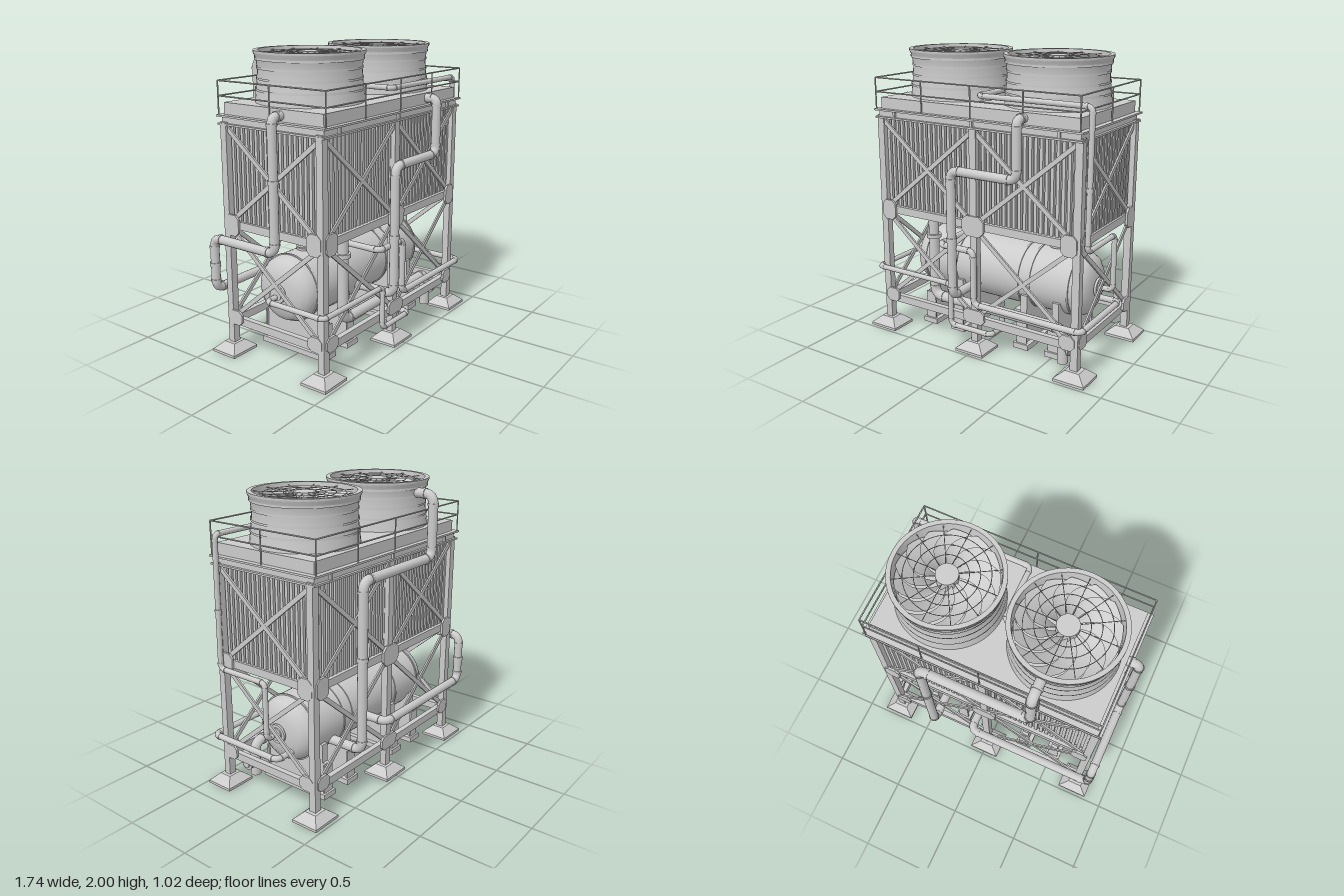
import * as THREE from 'three';
import { toCreasedNormals } from 'three/addons/utils/BufferGeometryUtils.js';
import { ParametricGeometry } from 'three/addons/geometries/ParametricGeometry.js';

const mat = new THREE.MeshStandardMaterial({ color: 0xcccccc });
const thinMat = new THREE.MeshStandardMaterial({ color: 0xcccccc, side: THREE.DoubleSide });
const V = (x, y, z) => new THREE.Vector3(x, y, z);
const UP = V(0, 1, 0);

function add(parent, name, geo, x = 0, y = 0, z = 0, material = mat) {
  const m = new THREE.Mesh(geo, material);
  m.name = name;
  m.position.set(x, y, z);
  parent.add(m);
  return m;
}
function group(parent, name) {
  const g = new THREE.Group();
  g.name = name;
  parent.add(g);
  return g;
}
// box given by its extents
function box(parent, name, x0, x1, y0, y1, z0, z1) {
  return add(parent, name, new THREE.BoxGeometry(x1 - x0, y1 - y0, z1 - z0), (x0 + x1) / 2, (y0 + y1) / 2, (z0 + z1) / 2);
}
// round rod between two points
function rod(parent, name, a, b, r, sides = 8) {
  const m = add(parent, name, new THREE.CylinderGeometry(r, r, a.distanceTo(b), sides));
  m.position.copy(a).add(b).multiplyScalar(0.5);
  m.quaternion.setFromUnitVectors(UP, b.clone().sub(a).normalize());
  return m;
}
// flat bar in a wall plane, u along the wall and y up
function bar(parent, name, u0, y0, u1, y1, w, t) {
  const m = add(parent, name, new THREE.BoxGeometry(Math.hypot(u1 - u0, y1 - y0), w, t), (u0 + u1) / 2, (y0 + y1) / 2, 0);
  m.rotation.z = Math.atan2(y1 - y0, u1 - u0);
}
// gusset plate with cut corners
function gusset(parent, u, y, w, h) {
  const a = w / 2, b = h / 2, c = Math.min(w, h) * 0.25;
  const s = new THREE.Shape([[-a + c, -b], [a - c, -b], [a, -b + c], [a, b - c], [a - c, b], [-a + c, b], [-a, b - c], [-a, -b + c]]
    .map(p => new THREE.Vector2(...p)));
  add(parent, 'gussetPlate', new THREE.ExtrudeGeometry(s, { depth: 0.016, bevelEnabled: false }), u, y, 0.008);
}
// pipe through points with rounded elbows and collars beside each elbow
function pipe(parent, name, r, pts) {
  const g = group(parent, name), path = new THREE.CurvePath(), p = pts.map(q => V(...q));
  let last = p[0];
  for (let i = 1; i < p.length; i++) {
    if (i === p.length - 1) { path.add(new THREE.LineCurve3(last, p[i])); break; }
    const inD = p[i].clone().sub(p[i - 1]), outD = p[i + 1].clone().sub(p[i]);
    const b = Math.min(r * 2, inD.length() * 0.45, outD.length() * 0.45);
    inD.normalize(); outD.normalize();
    const s = p[i].clone().addScaledVector(inD, -b), e = p[i].clone().addScaledVector(outD, b);
    path.add(new THREE.LineCurve3(last, s));
    path.add(new THREE.QuadraticBezierCurve3(s, p[i], e));
    for (const [c, d] of [[s, inD], [e, outD]])
      rod(g, 'collar', c.clone().addScaledVector(d, -0.008), c.clone().addScaledVector(d, 0.008), r * 1.13, 16);
    last = e;
  }
  add(g, name + 'Tube', new THREE.TubeGeometry(path, Math.ceil(path.getLength() / 0.018), r, 14), 0, 0, 0, thinMat);
}
const lathe = (pts, n = 48, crease = 0.5) => toCreasedNormals(new THREE.LatheGeometry(pts.map(p => new THREE.Vector2(...p)), n), crease);

function buildFrame(root) {
  const g = group(root, 'frame');
  // legs and footings
  for (const x of [-0.76, 0, 0.76]) for (const z of [-0.382, 0.382]) {
    box(g, 'leg', x - 0.026, x + 0.026, 0.05, 1.56, z - 0.024, z + 0.024);
    box(g, 'footingSlab', x - 0.11, x + 0.11, 0, 0.018, z - 0.098, z + 0.098);
    const f = new THREE.CylinderGeometry(0.05 * Math.SQRT2, 0.11 * Math.SQRT2, 0.05, 4, 1).toNonIndexed();
    f.rotateY(Math.PI / 4);
    f.scale(1, 1, 0.89);
    f.computeVertexNormals();
    add(g, 'footing', f, x, 0.043, z);
  }
  // walls: long ones with two bays, short ones with one
  for (let k = 0; k < 4; k++) {
    const long = k % 2 === 0, half = long ? 0.75 : 0.375, off = long ? 0.392 : 0.765;
    const w = group(g, 'wallBracing');
    w.rotation.y = k * Math.PI / 2;
    w.position.set(Math.sin(w.rotation.y) * off, 0, Math.cos(w.rotation.y) * off);
    for (const y of [0.222, 0.895]) {
      box(w, 'beam', -half, half, y - 0.027, y + 0.027, -0.034, 0.004);
      for (const u of long ? [-half, 0, half] : [-half, half]) {
        const mid = u === 0, shift = mid ? 0 : -Math.sign(u) * 0.04;
        gusset(w, u + shift, y + (y < 0.5 ? 0.03 : 0), mid ? 0.17 : 0.11, y < 0.5 ? 0.1 : 0.14);
      }
    }
    for (const [a, b] of long ? [[-half, 0], [0, half]] : [[-half, half]])
      for (const [y0, y1] of [[0.24, 0.88], [0.9, 1.53]]) {
        bar(w, 'brace', a, y0, b, y1, 0.03, 0.012);
        bar(w, 'brace', a, y1, b, y0, 0.03, 0.014);
      }
  }
}

function buildTower(root) {
  const g = group(root, 'coolingTower');
  box(g, 'fillCore', -0.735, 0.735, 0.9, 1.55, -0.35, 0.35);
  // corrugated cladding
  const clad = group(g, 'cladding');
  for (let i = 0; i < 38; i++) {
    const x = -0.722 + i * 1.444 / 37;
    for (const s of [-1, 1]) box(clad, 'rib', x - 0.011, x + 0.011, 0.9, 1.55, s * 0.36 - 0.013, s * 0.36 + 0.013);
  }
  for (let i = 0; i < 18; i++) {
    const z = -0.332 + i * 0.664 / 17;
    for (const s of [-1, 1]) box(clad, 'rib', s * 0.742 - 0.013, s * 0.742 + 0.013, 0.9, 1.55, z - 0.011, z + 0.011);
  }
  // deck on a flanged edge beam
  box(g, 'edgeBeamLowerFlange', -0.79, 0.79, 1.54, 1.552, -0.425, 0.425);
  box(g, 'edgeBeamWeb', -0.77, 0.77, 1.55, 1.6, -0.405, 0.405);
  box(g, 'edgeBeamUpperFlange', -0.795, 0.795, 1.592, 1.604, -0.43, 0.43);
  box(g, 'deck', -0.757, 0.757, 1.6, 1.68, -0.395, 0.395);
  for (const x of [-0.63, 0, 0.63]) for (const z of [-0.405, 0.405]) box(g, 'beamStiffener', x - 0.008, x + 0.008, 1.55, 1.595, z - 0.015, z + 0.015);
  // railing
  const r = group(g, 'railing'), X = 0.775, Z = 0.425;
  for (const s of [-1, 1]) {
    for (let i = -2; i <= 2; i++) rod(r, 'railPost', V(i * X / 2, 1.6, s * Z), V(i * X / 2, 1.815, s * Z), 0.005, 6);
    rod(r, 'railPost', V(s * X, 1.6, 0), V(s * X, 1.815, 0), 0.005, 6);
    for (const y of [1.72, 1.815]) {
      rod(r, 'rail', V(-X, y, s * Z), V(X, y, s * Z), 0.005, 6);
      rod(r, 'rail', V(s * X, y, -Z), V(s * X, y, Z), 0.005, 6);
    }
  }
}

function buildFan(root, x) {
  const g = group(root, 'fanStack');
  g.position.set(x, 0, -0.012);
  // flared shell, outside then inside
  add(g, 'stackShell', lathe([[0.35, 1.675], [0.342, 1.74], [0.333, 1.82], [0.33, 1.88], [0.335, 1.93], [0.346, 1.97], [0.354, 1.985],
    [0.354, 2], [0.325, 2], [0.318, 1.93], [0.316, 1.86], [0.322, 1.69]]), 0, 0, 0, thinMat);
  for (const [y, r] of [[1.76, 0.341], [1.83, 0.334], [1.895, 0.332], [1.95, 0.341]])
    add(g, 'stackBand', new THREE.CylinderGeometry(r + 0.004, r + 0.004, 0.014, 48, 1, true), 0, y, 0, thinMat);
  add(g, 'fanHub', new THREE.CylinderGeometry(0.07, 0.07, 0.09, 32), 0, 1.945, 0);
  add(g, 'motor', new THREE.CylinderGeometry(0.05, 0.05, 0.24, 24), 0, 1.79, 0);
  // swept, pitched blades
  const blade = new ParametricGeometry((u, v, out) => {
    const r = 0.06 + 0.253 * u, a = 0.75 * u * u + v * (0.62 - 0.12 * u);
    out.set(r * Math.cos(a), 1.965 - v * (0.075 - 0.03 * u), r * Math.sin(a));
  }, 10, 4);
  for (let i = 0; i < 13; i++) add(g, 'fanBlade', blade, 0, 0, 0, thinMat).rotation.y = i * Math.PI * 2 / 13;
  // wire guard
  for (const r of [0.13, 0.195, 0.26]) add(g, 'guardRing', new THREE.TorusGeometry(r, 0.0025, 5, 48), 0, 1.982, 0).rotation.x = Math.PI / 2;
  for (let i = 0; i < 12; i++) {
    const a = i * Math.PI / 6, c = Math.cos(a), s = Math.sin(a);
    rod(g, 'guardSpoke', V(c * 0.06, 1.982, s * 0.06), V(c * 0.325, 1.982, s * 0.325), 0.0025, 5);
  }
}

function buildTank(root) {
  const g = group(root, 'tank'), cy = 0.475, cz = -0.03, R = 0.225;
  // shell with domed heads, turned about x
  const half = [[0, 0.7], [0.1, 0.695], [0.16, 0.68], [0.2, 0.65], [0.22, 0.61], [R, 0.57]];
  const prof = [...half.map(([r, x]) => [r, -x]), ...half.slice().reverse()];
  add(g, 'tankShell', lathe(prof, 48, 0.7), 0, cy, cz).rotation.z = -Math.PI / 2;
  for (const x of [-0.575, -0.3, 0.21, 0.3, 0.59]) rod(g, 'seamBand', V(x - 0.006, cy, cz), V(x + 0.006, cy, cz), R + 0.006, 48);
  for (const s of [-1, 1]) {
    rod(g, 'endNozzle', V(s * 0.68, cy, cz), V(s * 0.73, cy, cz), 0.045, 20);
    rod(g, 'endFlange', V(s * 0.705, cy, cz), V(s * 0.722, cy, cz), 0.065, 24);
  }
  // top nozzles rising into the tower
  for (const x of [-0.43, 0.4]) {
    rod(g, 'topNozzle', V(x, 0.65, cz), V(x, 0.92, cz), 0.036, 20);
    for (const y of [0.71, 0.73]) rod(g, 'nozzleFlange', V(x, y - 0.007, cz), V(x, y + 0.007, cz), 0.056, 24);
  }
  // saddles
  for (const x of [-0.51, -0.265, 0.265, 0.51]) {
    box(g, 'saddleBase', x - 0.058, x + 0.058, 0.01, 0.048, cz - 0.27, cz + 0.27);
    box(g, 'saddleWeb', x - 0.025, x + 0.025, 0.045, 0.26, cz - 0.25, cz + 0.25);
    box(g, 'saddleCradle', x - 0.025, x + 0.025, 0.25, 0.39, cz - 0.228, cz + 0.228);
    for (const s of [-1, 1]) box(g, 'saddleEndPlate', x - 0.04, x + 0.04, 0.045, 0.25, cz + s * 0.25 - 0.006, cz + s * 0.25 + 0.006);
  }
}

function buildPipes(root) {
  const g = group(root, 'pipework');
  pipe(g, 'frontFeedPipe', 0.031, [[0.375, 1.645, 0.38], [0.375, 1.645, 0.475], [0.375, 1.27, 0.475], [-0.125, 1.27, 0.475], [-0.125, 0.4, 0.475], [-0.125, 0.4, 0.1]]);
  pipe(g, 'rearStackPipe', 0.033, [[-0.36, 1.92, -0.32], [-0.36, 1.92, -0.475], [-0.36, 1.5, -0.475], [0.4, 1.5, -0.475], [0.4, 0.37, -0.475], [0.4, 0.37, -0.15]]);
  pipe(g, 'sideDownPipe', 0.03, [[-0.74, 1.64, 0.07], [-0.835, 1.64, 0.07], [-0.835, 0.8, 0.07], [-0.835, 0.8, -0.455], [-0.835, 0.45, -0.455], [0.1, 0.45, -0.455], [0.1, 0.45, -0.2]]);
  pipe(g, 'frontLoopPipe', 0.021, [[-0.25, 0.66, -0.02], [-0.25, 0.735, -0.02], [-0.25, 0.735, 0.445], [0.025, 0.735, 0.445], [0.025, 0.36, 0.445], [0.82, 0.36, 0.445], [0.82, 0.36, -0.12], [0.58, 0.36, -0.12]]);
  pipe(g, 'deckReturnPipe', 0.018, [[-0.04, 1.745, -0.04], [0.01, 1.745, -0.04], [0.01, 1.745, 0.35], [0.812, 1.745, 0.35], [0.812, 0.86, 0.36], [0.812, 0.86, -0.03], [0.812, 0.475, -0.03], [0.7, 0.475, -0.03]]);
  pipe(g, 'lowDrainPipe', 0.018, [[-0.7, 0.455, -0.03], [-0.815, 0.455, -0.03], [-0.815, 0.455, 0.425], [-0.18, 0.455, 0.425], [-0.18, 0.16, 0.425], [0.145, 0.16, 0.425], [0.145, 0.16, 0.28], [0.145, 0.27, 0.28]]);
  pipe(g, 'basinPipe', 0.036, [[-0.425, 0.92, 0.28], [-0.425, 0.27, 0.28], [0.615, 0.27, 0.28], [0.615, 0.03, 0.28]]);
  // drain valve and pipe joints
  rod(g, 'valveBody', V(0.6, 0.14, 0.28), V(0.71, 0.14, 0.28), 0.028, 16);
  for (const x of [0.66, 0.685]) rod(g, 'valveFlange', V(x, 0.14, 0.28), V(x + 0.013, 0.14, 0.28), 0.045, 20);
  for (const [x, y, z, r] of [[-0.125, 0.8, 0.475, 0.036], [0.4, 1, -0.475, 0.038], [-0.835, 1.25, 0.07, 0.035], [-0.835, 0.62, -0.455, 0.036], [-0.425, 0.72, 0.28, 0.052], [0.812, 1.25, 0.356, 0.022]])
    rod(g, 'pipeJoint', V(x, y - 0.014, z), V(x, y + 0.014, z), r, 18);
}

export function createModel() {
  const root = new THREE.Group();
  root.name = 'coolingPlant';
  buildFrame(root);
  buildTower(root);
  for (const x of [-0.375, 0.387]) buildFan(root, x);
  buildTank(root);
  buildPipes(root);
  return root;
}
